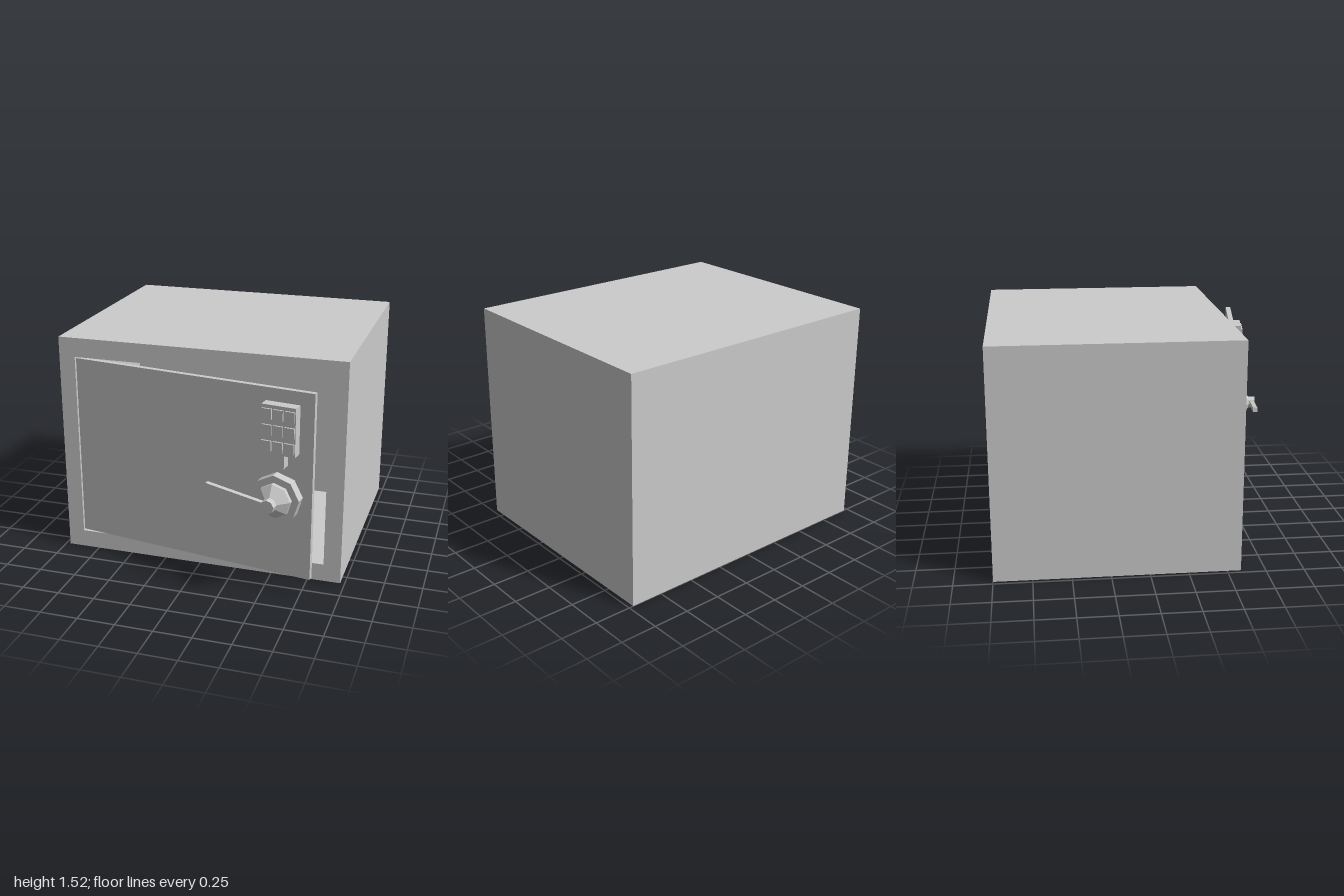
import * as THREE from 'three';

const material = new THREE.MeshStandardMaterial({ color: 0xcccccc, flatShading: true });

function add(parent, name, geometry, x = 0, y = 0, z = 0) {
  const mesh = new THREE.Mesh(geometry, material);
  mesh.name = name;
  mesh.position.set(x, y, z);
  parent.add(mesh);
  return mesh;
}

const group = (parent, name) => {
  const g = new THREE.Group();
  g.name = name;
  parent.add(g);
  return g;
};

function rect(PathType, x0, y0, x1, y1) {
  return new PathType([[x0, y0], [x1, y0], [x1, y1], [x0, y1]].map(p => new THREE.Vector2(...p)));
}

// Box resting on the door's front plane (z = 0), from its edges
function slab(parent, name, x0, x1, y0, y1, z0, z1) {
  return add(parent, name, new THREE.BoxGeometry(x1 - x0, y1 - y0, z1 - z0),
    (x0 + x1) / 2, (y0 + y1) / 2, (z0 + z1) / 2);
}

export function createModel() {
  const safe = new THREE.Group();
  safe.name = 'safe';

  // Hollow cabinet: walls around the cavity, closed by a thick back
  const cabinet = group(safe, 'cabinet');
  const frontZ = 0.59, cavityZ = -0.55;
  const outline = rect(THREE.Shape, -0.97, 0, 0.97, 1.52);
  outline.holes.push(rect(THREE.Path, -0.86, 0.12, 0.855, 1.39));
  add(cabinet, 'cabinetWalls',
    new THREE.ExtrudeGeometry(outline, { depth: frontZ - cavityZ, bevelEnabled: false }), 0, 0, cavityZ);
  slab(cabinet, 'cabinetBack', -0.97, 0.97, 0, 1.52, -1, cavityZ);

  // Door, ajar: its origin is the front hinge edge
  const door = group(safe, 'door');
  door.position.set(-0.855, 0, 0.58);
  door.rotation.y = -0.152;
  slab(door, 'doorPanel', 0, 1.69, 0.13, 1.38, -0.035, 0);

  // Keypad with a 3 x 3 block of keys and a small tab below
  const keypad = group(door, 'keypad');
  slab(keypad, 'keypadBase', 1.371, 1.597, 0.977, 1.295, 0, 0.07);
  slab(keypad, 'keypadTab', 1.449, 1.524, 0.889, 0.977, 0, 0.066);
  for (let row = 0; row < 3; row++) {
    for (let col = 0; col < 3; col++) {
      const x = 1.409 + col * 0.0755, y = 1.238 - row * 0.1035;
      slab(keypad, 'key', x - 0.032, x + 0.032, y - 0.034, y + 0.034, 0.07, 0.082);
    }
  }

  // Eight-sided stepped handle boss
  const handle = group(door, 'handle');
  handle.position.set(1.47, 0.676, 0);
  const profile = [[0.16, 0], [0.16, 0.066], [0.113, 0.066], [0.113, 0.094],
    [0.045, 0.148], [0.045, 0.195], [0, 0.195]].map(p => new THREE.Vector2(...p));
  const boss = new THREE.LatheGeometry(profile, 8).rotateX(Math.PI / 2).rotateZ(0.1);
  add(handle, 'handleBoss', boss);

  // Lever reaching towards the hinge, tilted slightly up
  const lever = add(handle, 'handleLever',
    new THREE.BoxGeometry(0.43, 0.032, 0.032).translate(-0.215, 0, 0), 0, 0, 0.172);
  lever.rotation.z = -0.152;

  return safe;
}
